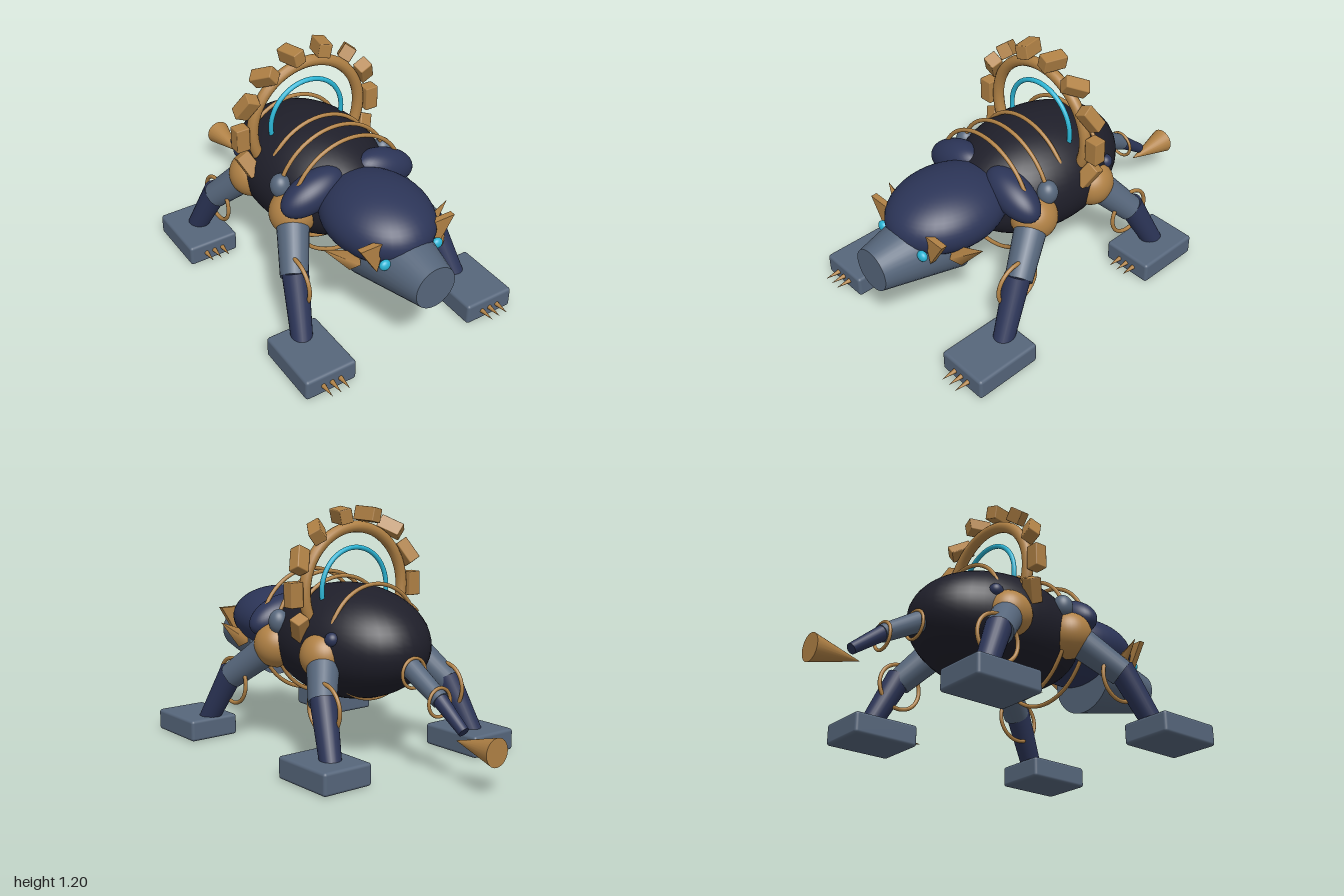
import * as THREE from 'three';
import { RoundedBoxGeometry } from 'three/addons/geometries/RoundedBoxGeometry.js';

const material = (name, color) => {
  const m = new THREE.MeshStandardMaterial({ color });
  m.name = name;
  return m;
};

export function createModel() {
  const model = new THREE.Group();
  model.name = 'mechanicalBeast';
  const dark = material('darkBody', 0x1f1f2a);
  const navy = material('navy', 0x2c3558);
  const slate = material('slate', 0x56667b);
  const gold = material('gold', 0xb08145);
  const cyan = material('cyan', 0x2ab4d4);

  const add = (name, geometry, mat, x = 0, y = 0, z = 0) => {
    const mesh = new THREE.Mesh(geometry, mat);
    mesh.name = name;
    mesh.position.set(x, y, z);
    model.add(mesh);
    return mesh;
  };
  const ellipsoid = (name, mat, p, r) => {
    const mesh = add(name, new THREE.SphereGeometry(1, 40, 28), mat, ...p);
    mesh.scale.set(...r);
    return mesh;
  };
  // Tapered rod from point a (radius ra) to point b (radius rb)
  const rod = (name, mat, a, b, ra, rb, sides = 24) => {
    const from = new THREE.Vector3(...a), to = new THREE.Vector3(...b);
    const dir = to.clone().sub(from);
    const mesh = add(name, new THREE.CylinderGeometry(rb, ra, dir.length(), sides), mat);
    mesh.position.copy(from).add(to).multiplyScalar(0.5);
    mesh.quaternion.setFromUnitVectors(new THREE.Vector3(0, 1, 0), dir.normalize());
    return mesh;
  };
  const ring = (name, mat, p, radius, tube) =>
    add(name, new THREE.TorusGeometry(radius, tube, 12, 64), mat, ...p);

  // Body, head and snout
  ellipsoid('body', dark, [0, 0.54, 0], [0.335, 0.282, 0.47]);
  ellipsoid('head', navy, [0, 0.585, 0.555], [0.25, 0.167, 0.31]);
  rod('snout', slate, [0, 0.467, 0.59], [0, 0.467, 1], 0.198, 0.105, 32);

  // Hoops around the body
  for (const [z, r] of [[0.32, 0.308], [0.195, 0.305], [0.067, 0.292], [-0.19, 0.277]])
    ring('bodyHoop', gold, [0, 0.557, z], r, 0.01);

  // Gear standing on the back
  ring('gearRim', gold, [0, 0.797, -0.04], 0.3, 0.028);
  ring('gearGlowRing', cyan, [0, 0.797, -0.04], 0.2, 0.012);
  for (let i = 0; i < 14; i++) {
    const a = (i / 14) * Math.PI * 2;
    const tooth = add('gearTooth', new RoundedBoxGeometry(0.07, 0.12, 0.065, 1, 0.005), gold,
      0.365 * Math.cos(a), 0.797 + 0.365 * Math.sin(a), -0.04);
    tooth.rotation.set(a, 0, a, 'ZYX');
  }

  for (const s of [1, -1]) {
    const side = s > 0 ? 'left' : 'right';

    // Shoulder mantle
    ellipsoid(side + 'Mantle', navy, [s * 0.2, 0.645, 0.325], [0.17, 0.09, 0.092])
      .rotation.z = -s * 0.35;
    ellipsoid(side + 'ShoulderKnob', slate, [s * 0.29, 0.635, 0.19], [0.05, 0.06, 0.05]);
    ellipsoid(side + 'HipKnob', navy, [s * 0.275, 0.6, -0.215], [0.035, 0.035, 0.035]);

    // Eye, brow plate and cheek spike
    ellipsoid(side + 'Eye', cyan, [s * 0.143, 0.533, 0.82], [0.028, 0.026, 0.02]);
    const brow = new THREE.Shape();
    brow.moveTo(s * 0.13, 0.63);
    brow.lineTo(s * 0.255, 0.63);
    brow.lineTo(s * 0.165, 0.485);
    brow.closePath();
    add(side + 'BrowPlate',
      new THREE.ExtrudeGeometry(brow, { depth: 0.03, bevelEnabled: false }), gold, 0, 0, 0.765);
    rod(side + 'CheekSpike', gold, [s * 0.19, 0.47, 0.66], [s * 0.34, 0.575, 0.635], 0.05, 0.001, 4);

    // Legs, each with joint ball, two segments, knee hoop, foot and claws
    for (const [end, hipZ, kneeZ, ankleZ, footZ] of
      [['Front', 0.25, 0.47, 0.625, 0.71], ['Rear', -0.13, -0.29, -0.425, -0.387]]) {
      const n = side + end;
      const knee = [s * 0.39, 0.33, kneeZ];
      ellipsoid(n + 'JointBall', gold, [s * 0.26, 0.51, hipZ], [0.115, 0.115, 0.115]);
      rod(n + 'UpperLeg', slate, [s * 0.275, 0.5, hipZ + (kneeZ - hipZ) * 0.1], knee, 0.08, 0.066);
      rod(n + 'LowerLeg', navy, [s * 0.385, 0.355, kneeZ], [s * 0.445, 0.07, ankleZ], 0.063, 0.05);
      ring(n + 'KneeHoop', gold, [s * 0.38, 0.305, kneeZ], 0.115, 0.01).rotation.y = Math.PI / 2;
      add(n + 'Foot', new RoundedBoxGeometry(0.265, 0.107, 0.345, 3, 0.015), slate,
        s * 0.453, 0.0535, footZ);
      for (const dx of [-0.045, 0, 0.045]) {
        const x = s * 0.453 + dx;
        rod(n + 'Claw', gold, [x, 0.05, footZ + 0.165], [x, 0.05, footZ + 0.247], 0.013, 0.0005, 10);
      }
    }
  }

  // Tail with two hoops and a flared end
  rod('tailBase', slate, [0, 0.49, -0.42], [0, 0.355, -0.65], 0.052, 0.042);
  rod('tailEnd', navy, [0, 0.37, -0.63], [0, 0.24, -0.8], 0.038, 0.026);
  ring('tailHoop', gold, [0, 0.45, -0.473], 0.07, 0.008);
  ring('tailHoop', gold, [0, 0.345, -0.645], 0.066, 0.008);
  rod('tailFlare', gold, [0, 0.193, -1], [0, 0.193, -0.755], 0.066, 0.001);

  return model;
}
